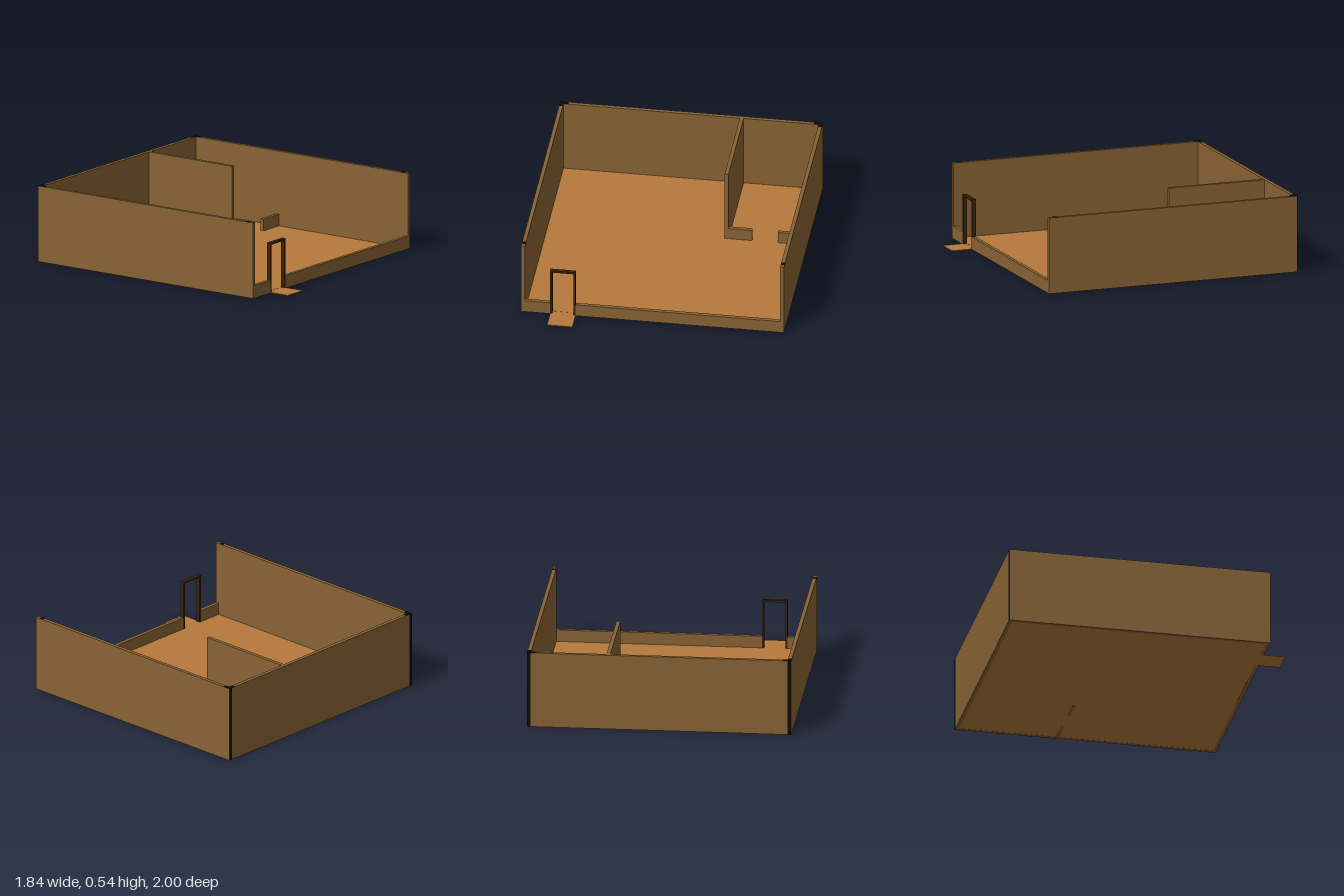
import * as THREE from 'three';

const mat = (name, color) => {
  const m = new THREE.MeshStandardMaterial({ color });
  m.name = name;
  return m;
};

export function createModel() {
  const wood = mat('wall brown', 0x886334);
  const floorMat = mat('floor orange brown', 0xb6793b);
  const frameMat = mat('door frame dark brown', 0x3c210d);
  const black = mat('corner black', 0x0a0a0a);
  const group = new THREE.Group();

  // box given by its limits on each axis
  const box = (name, material, x0, x1, y0, y1, z0, z1) => {
    const mesh = new THREE.Mesh(new THREE.BoxGeometry(x1 - x0, y1 - y0, z1 - z0), material);
    mesh.position.set((x0 + x1) / 2, (y0 + y1) / 2, (z0 + z1) / 2);
    mesh.name = name;
    group.add(mesh);
  };

  const W = 0.922, T = 0.027, H = 0.54, LOW = 0.09;
  const back = -1, front = 0.85;
  const inner = W - T;
  const doorL = -0.717, doorR = -0.539;

  // floor and doorstep
  box('floor', floorMat, -inner, inner, 0.001, 0.006, back + T, front - T);
  box('doorstep', floorMat, doorL, doorR, 0, 0.005, front - T, 1);

  // outer walls
  box('backWall', wood, -inner, inner, 0, H, back, back + T);
  box('frontWallLeftOfDoor', wood, -inner, doorL, 0, LOW, front - T, front);
  box('frontWallRightOfDoor', wood, doorR, inner, 0, LOW, front - T, front);
  for (const s of [-1, 1]) {
    const x0 = s < 0 ? -W : inner;
    box('sideWall', wood, x0, x0 + T, 0, H, back, front);
    // black strip up the rear end of the side wall
    box('cornerStrip', black, x0, x0 + T, 0, H, back - 0.001, back);
    // black marks on the wall tops
    const c0 = s < 0 ? -W : W - 0.06;
    box('backCornerMark', black, c0, c0 + 0.06, H, H + 0.001, back, back + T);
    box('sideCornerMark', black, x0, x0 + T, H, H + 0.001, back + T, back + 0.056);
    box('frontCornerMark', black, x0, x0 + T, H, H + 0.001, 0.787, 0.816);
  }

  // inner room: tall partition and a low wall with a doorway
  box('partition', wood, 0.342, 0.369, 0.002, H, back + T, -0.26);
  box('lowInnerWall', wood, 0.369, 0.535, 0, LOW, -0.287, -0.26);
  box('lowInnerWall', wood, 0.715, inner, 0, LOW, -0.287, -0.26);

  // door frame
  const F = 0.014, frameTop = 0.357;
  box('doorJamb', frameMat, doorL, doorL + F, 0, frameTop, front - T, front + 0.001);
  box('doorJamb', frameMat, doorR - F, doorR, 0, frameTop, front - T, front + 0.001);
  box('doorLintel', frameMat, doorL + F, doorR - F, frameTop - F, frameTop, front - T, front + 0.001);

  return group;
}
